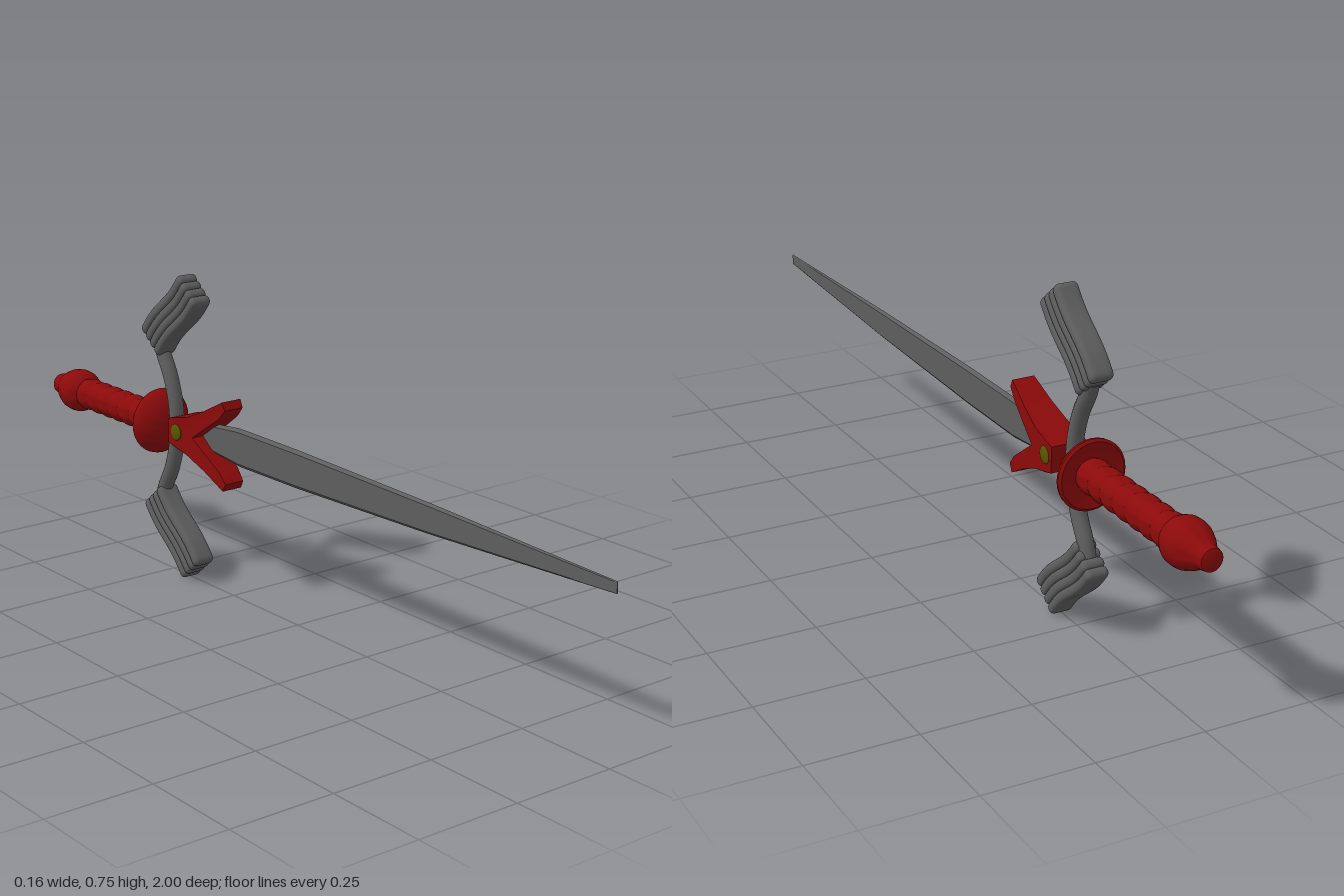
import * as THREE from 'three';
import { mergeVertices, toCreasedNormals } from 'three/addons/utils/BufferGeometryUtils.js';

const AXIS = 0.379; // height of the sword's long axis

const steel = new THREE.MeshStandardMaterial({ color: 0x5e5e5e });
const steelFlat = new THREE.MeshStandardMaterial({ color: 0x5e5e5e, flatShading: true });
const red = new THREE.MeshStandardMaterial({ color: 0x8c0a0a });
const olive = new THREE.MeshStandardMaterial({ color: 0x565600 });

function add(parent, name, geometry, material) {
  const mesh = new THREE.Mesh(geometry, material);
  mesh.name = name;
  parent.add(mesh);
  return mesh;
}

// Lathe about the long axis; points are [radius, distance towards the back]
function turned(points) {
  const g = new THREE.LatheGeometry(points.map(([r, d]) => new THREE.Vector2(r, d)), 32);
  g.rotateX(-Math.PI / 2);
  return toCreasedNormals(g, 0.6);
}

// Blade lofted from six-sided sections [z, half height, half thickness, centre y]
function bladeGeometry() {
  const sections = [
    [-0.38, 0.018, 0.006, 0], [-0.33, 0.035, 0.007, 0], [-0.22, 0.047, 0.007, 0],
    [0, 0.046, 0.007, 0], [0.45, 0.035, 0.006, 0.001], [0.85, 0.019, 0.003, 0.003], [1, 0.013, 0.001, 0.004],
  ];
  const outline = [[0, 1], [-1, 0.82], [-1, -0.82], [0, -1], [1, -0.82], [1, 0.82]];
  const pos = [], idx = [], n = outline.length;
  for (const [z, h, t, c] of sections) {
    for (const [x, y] of outline) pos.push(x * t, c + y * h, z);
  }
  const last = (sections.length - 1) * n;
  for (let s = 0; s < sections.length - 1; s++) {
    for (let i = 0; i < n; i++) {
      const a = s * n + i, b = s * n + (i + 1) % n;
      idx.push(a, b, b + n, a, b + n, a + n);
    }
  }
  for (let i = 1; i < n - 1; i++) {
    idx.push(0, i + 1, i, last, last + i, last + i + 1);
  }
  const g = new THREE.BufferGeometry();
  g.setAttribute('position', new THREE.Float32BufferAttribute(pos, 3));
  g.setIndex(idx);
  const flat = g.toNonIndexed();
  flat.computeVertexNormals();
  return flat;
}

// Forked collar: side profile extruded, then narrowed towards the prong tips
function collarGeometry() {
  const half = [[-0.452, 0.03], [-0.43, 0.036], [-0.38, 0.047], [-0.32, 0.073], [-0.253, 0.109], [-0.243, 0.09], [-0.265, 0.065]];
  const upper = half.map(([z, y]) => new THREE.Vector2(z, y));
  const lower = half.map(([z, y]) => new THREE.Vector2(z, -y)).reverse();
  const shape = new THREE.Shape([...upper, new THREE.Vector2(-0.36, 0), ...lower]);
  const g = new THREE.ExtrudeGeometry(shape, { depth: 2, bevelEnabled: false });
  g.translate(0, 0, -1);
  g.rotateY(-Math.PI / 2);
  const p = g.attributes.position;
  for (let i = 0; i < p.count; i++) {
    const k = THREE.MathUtils.clamp((p.getZ(i) + 0.4) / 0.155, 0, 1);
    p.setX(i, p.getX(i) * THREE.MathUtils.lerp(0.042, 0.026, k));
  }
  return toCreasedNormals(g, 0.5);
}

// One wavy slat along y: a fine box with rounded edges, bent by a sine
function slatGeometry(width, length, depth) {
  const radius = 0.0115;
  const g = new THREE.BoxGeometry(width, length, depth, 10, 36, 8);
  g.deleteAttribute('uv');
  g.deleteAttribute('normal');
  const core = new THREE.Vector3(width, length, depth).multiplyScalar(0.5).subScalar(radius);
  const low = core.clone().negate();
  const p = g.attributes.position;
  const v = new THREE.Vector3(), inner = new THREE.Vector3();
  for (let i = 0; i < p.count; i++) {
    v.fromBufferAttribute(p, i);
    inner.copy(v).clamp(low, core);
    v.sub(inner).setLength(radius).add(inner);
    p.setXYZ(i, v.x, v.y, v.z + 0.005 * Math.sin(v.y / length * Math.PI * 2));
  }
  const smooth = mergeVertices(g, 1e-5);
  smooth.computeVertexNormals();
  return smooth;
}

export function createModel() {
  const model = new THREE.Group();
  model.name = 'sword';
  const body = new THREE.Group();
  body.name = 'swordBody';
  body.position.y = AXIS;
  model.add(body);

  add(body, 'blade', bladeGeometry(), steelFlat);
  add(body, 'forkedCollar', collarGeometry(), red).position.y = -0.002;

  // Oval gems on both sides of the collar
  for (const side of [-1, 1]) {
    const gem = add(body, side > 0 ? 'leftGem' : 'rightGem', new THREE.SphereGeometry(0.02, 20, 12), olive);
    gem.scale.set(0.25, 1, 1);
    gem.position.set(side * 0.041, -0.001, -0.422);
  }

  // Curved crossbar, symmetric above and below the axis
  const arm = [[0.2, -0.54], [0.165, -0.526], [0.12, -0.501], [0.06, -0.481]];
  const path = [
    ...arm, [0, -0.475], ...arm.map(([y, z]) => [-y, z]).reverse(),
  ].map(([y, z]) => new THREE.Vector3(0, y, z));
  const bar = new THREE.TubeGeometry(new THREE.CatmullRomCurve3(path), 48, 0.0185, 16);
  add(body, 'crossbar', bar, steel);

  // Four stacked slats at each end of the crossbar
  const slat = slatGeometry(0.056, 0.226, 0.026);
  for (const end of [1, -1]) {
    const wing = new THREE.Group();
    wing.name = end > 0 ? 'upperSlats' : 'lowerSlats';
    wing.position.set(0, end * 0.272, -0.475);
    wing.rotation.x = end > 0 ? Math.PI / 4 : Math.PI * 3 / 4;
    for (let i = 0; i < 4; i++) {
      const m = add(wing, 'slat' + (i + 1), slat, steel);
      const step = i - 1.5;
      // The rearmost slats reach slightly further inwards
      m.position.set(0, end * step * 0.002, step * 0.0222);
      if (end < 0) m.rotation.y = Math.PI;
    }
    body.add(wing);
  }

  const hilt = new THREE.Group();
  hilt.name = 'hilt';
  hilt.position.y = -0.006;
  body.add(hilt);

  // Domed hand guard
  add(hilt, 'handGuard', turned([
    [0, 0.498], [0.025, 0.502], [0.05, 0.512], [0.07, 0.527], [0.08, 0.541],
    [0.081, 0.548], [0.075, 0.553], [0.055, 0.547], [0.035, 0.545], [0, 0.545],
  ]), red);

  // Ribbed grip
  const ribs = 7, start = 0.54, pitch = 0.048;
  const grip = [[0, start]];
  for (let i = 0; i < ribs; i++) {
    for (let k = 0; k < 6; k++) {
      grip.push([0.035 + 0.005 * Math.sin(Math.PI * k / 6), start + pitch * (i + k / 6)]);
    }
  }
  grip.push([0.035, start + pitch * ribs], [0, start + pitch * ribs]);
  add(hilt, 'grip', turned(grip), red);

  // Bulbous pommel tapering to a short end cap
  add(hilt, 'pommel', turned([
    [0, 0.864], [0.036, 0.867], [0.047, 0.878], [0.053, 0.894], [0.054, 0.91], [0.052, 0.926],
    [0.044, 0.946], [0.034, 0.964], [0.027, 0.976], [0.027, 0.987], [0.025, 0.997], [0.019, 1], [0, 1],
  ]), red);

  return model;
}
